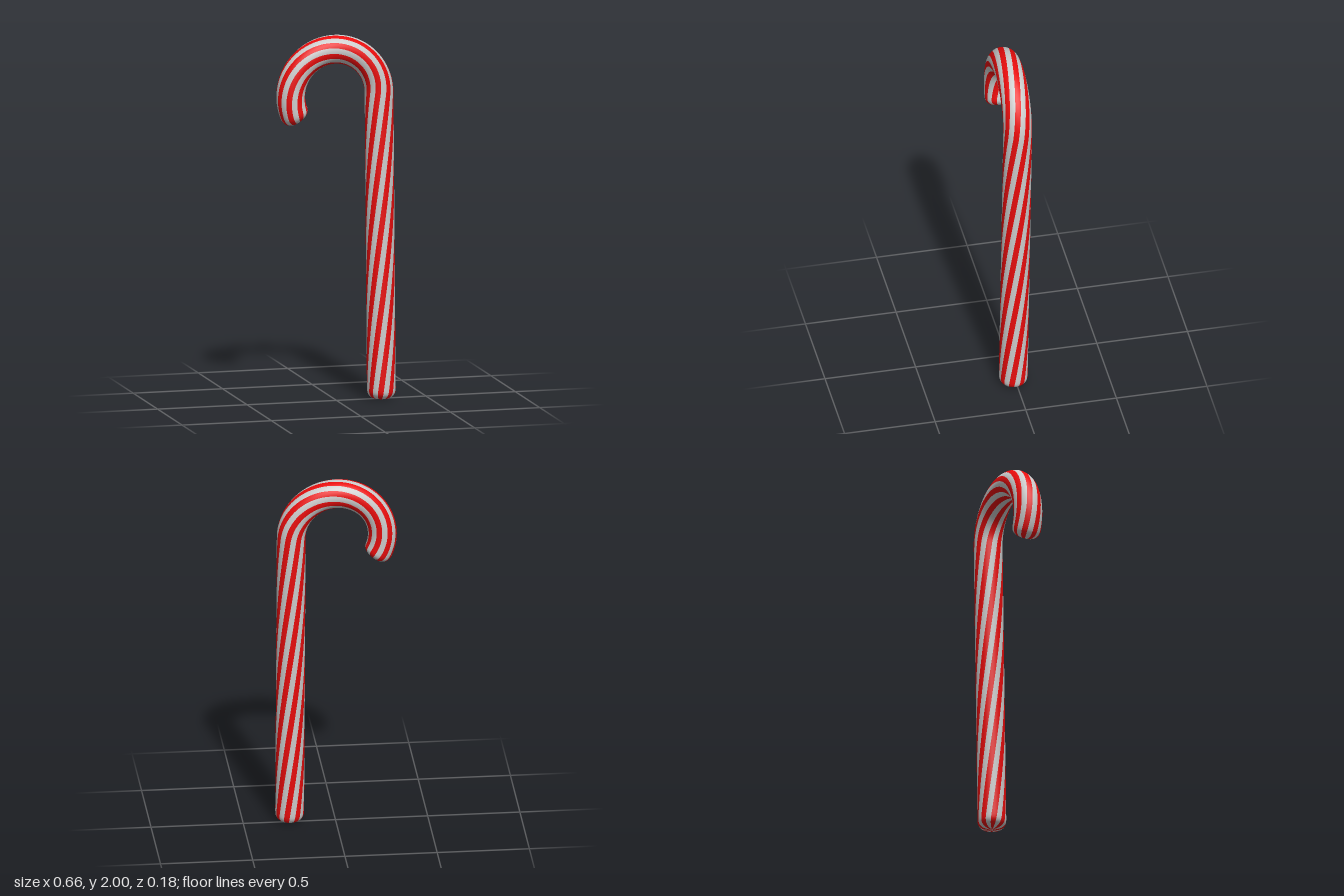
import * as THREE from 'three';

const TUBE = 0.078;       // stick radius
const SHAFT = 1.676;      // straight length
const HOOK = 0.247;       // hook centreline radius
const HOOK_X = -0.006;
const SWEEP = THREE.MathUtils.degToRad(214);
const LENGTH = SHAFT + HOOK * SWEEP;
const CAP = 0.06;         // length of each rounded end
const COLS = 64;          // 8 red and 8 white stripes, 4 columns each
const TWIST = 1.9;        // radians per unit of length
const APEX = SHAFT + HOOK * Math.PI / 2;

// Centre and outward direction at a distance along the cane
function frameAt(s) {
  const a = Math.max(0, s - SHAFT) / HOOK;
  const out = new THREE.Vector3(Math.cos(a), Math.sin(a), 0);
  const centre = out.clone().multiplyScalar(HOOK);
  centre.x += HOOK_X + 0.006 * Math.max(0, 1 - s / SHAFT);
  centre.y += Math.min(s, SHAFT);
  return { centre, out };
}

// Rings as [distance, radius]: rounded foot, body, rounded tip
function makeRings() {
  const cap = [];
  for (let i = 0; i <= 10; i++) {
    const t = (i / 10) * Math.PI / 2;
    const r = i === 0 ? 0 : TUBE * Math.pow(Math.sin(t), 0.75);
    const c = i === 10 ? 0 : Math.pow(Math.cos(t), 0.75);
    cap.push([CAP * (1 - c), r]);
  }
  const rings = [...cap];
  for (let i = 1; i < 140; i++) rings.push([CAP + (LENGTH - 2 * CAP) * i / 140, TUBE]);
  for (const [s, r] of cap.reverse()) rings.push([LENGTH - s, r]);
  return rings;
}

export function createModel() {
  const rings = makeRings();
  const positions = [];
  for (const [s, r] of rings) {
    const { centre, out } = frameAt(s);
    for (let j = 0; j < COLS; j++) {
      const phi = j / COLS * Math.PI * 2 + TWIST * (s - APEX);
      const p = centre.clone().addScaledVector(out, r * Math.cos(phi));
      positions.push(p.x, p.y, p.z - r * Math.sin(phi));
    }
  }

  // Split the faces between alternating spiral stripes
  const all = [], stripes = [[], []];
  for (let i = 0; i < rings.length - 1; i++) {
    for (let j = 0; j < COLS; j++) {
      const k = (j + 1) % COLS;
      const a = i * COLS + j, b = i * COLS + k, c = a + COLS, d = b + COLS;
      const faces = [a, b, d, a, d, c];
      all.push(...faces);
      stripes[((j + 2) >> 2) & 1].push(...faces);
    }
  }

  // Shared normals keep the surface smooth across stripes
  const whole = new THREE.BufferGeometry();
  whole.setAttribute('position', new THREE.Float32BufferAttribute(positions, 3));
  whole.setIndex(all);
  whole.computeVertexNormals();

  const group = new THREE.Group();
  group.name = 'candyCane';
  const parts = [['whiteStripes', 0xcccccc], ['redStripes', 0xe80c0c]];
  parts.forEach(([name, color], n) => {
    const mesh = new THREE.Mesh(whole.clone().setIndex(stripes[n]),
      new THREE.MeshStandardMaterial({ color }));
    mesh.name = name;
    // The cane leans slightly backwards
    mesh.rotation.x = -0.0155;
    mesh.position.z = 0.015;
    group.add(mesh);
  });
  return group;
}
